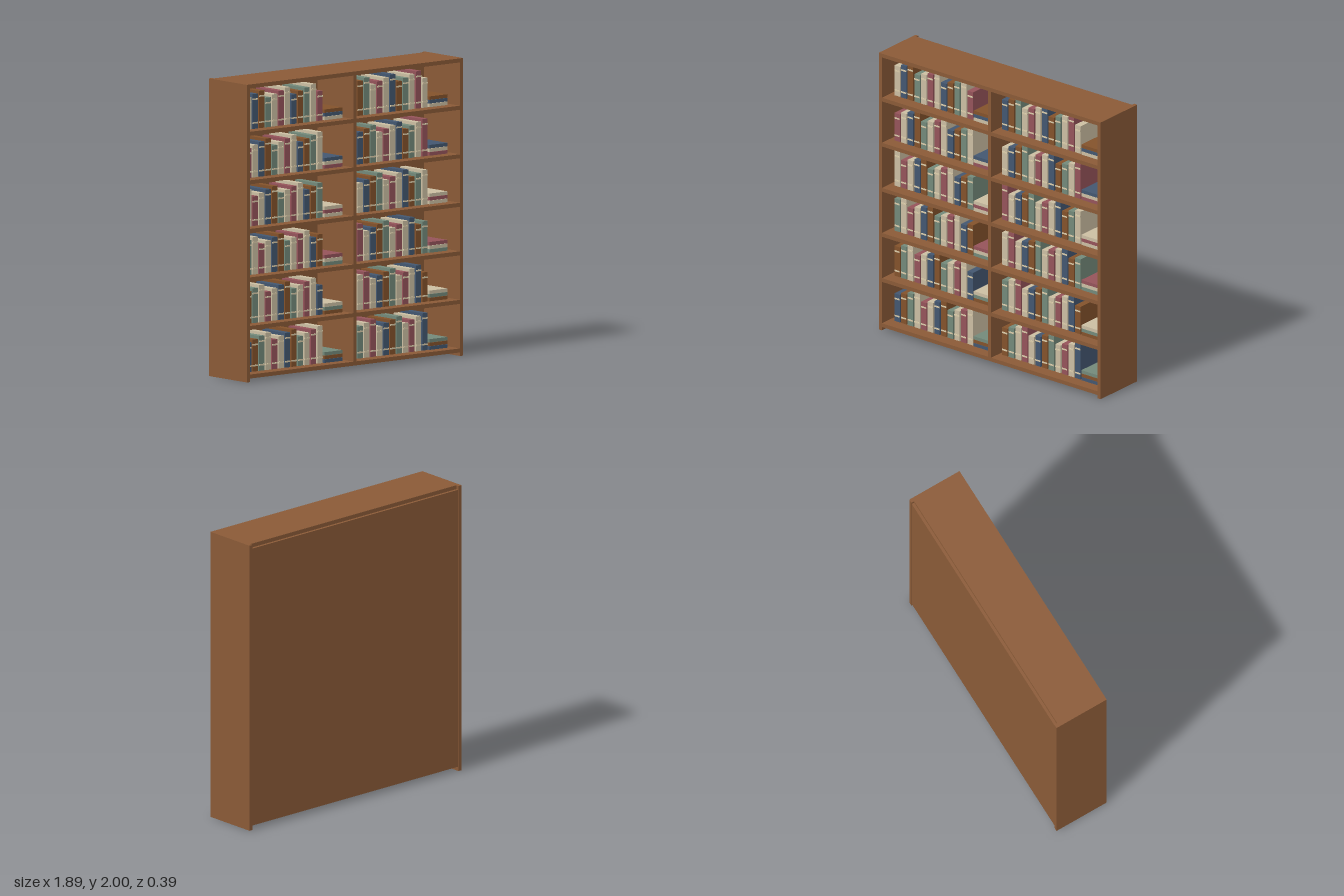
import * as THREE from 'three';

const paint = (name, color) => {
  const m = new THREE.MeshStandardMaterial({ color });
  m.name = name;
  return m;
};

export function createModel() {
  const wood = paint('wood', 0x8a5a37);
  const cream = paint('cream cover', 0xcbbea2);
  const blue = paint('blue cover', 0x435770);
  const brown = paint('brown cover', 0x83522b);
  const green = paint('green cover', 0x73897a);
  const red = paint('red cover', 0x95535a);
  const gilt = paint('spine band', 0xdccdab);
  const covers = [cream, blue, brown, green, cream, red];

  const model = new THREE.Group();
  model.name = 'bookcase';

  // Box given by its lower and upper limits on each axis
  const box = (parent, name, mat, [x0, x1], [y0, y1], [z0, z1]) => {
    const mesh = new THREE.Mesh(new THREE.BoxGeometry(x1 - x0, y1 - y0, z1 - z0), mat);
    mesh.position.set((x0 + x1) / 2, (y0 + y1) / 2, (z0 + z1) / 2);
    mesh.name = name;
    parent.add(mesh);
  };

  const W = 0.945, D = 0.195, T = 0.027;
  const inner = W - T, rear = -0.173;
  const rows = 6, pitch = 0.3262, firstShelf = 0.051;

  // Carcass
  const carcass = new THREE.Group();
  carcass.name = 'carcass';
  model.add(carcass);
  box(carcass, 'leftSide', wood, [inner, W], [0, 2], [-D, D]);
  box(carcass, 'rightSide', wood, [-W, -inner], [0, 2], [-D, D]);
  box(carcass, 'topPanel', wood, [-inner, inner], [2 - T, 2], [rear, D]);
  box(carcass, 'divider', wood, [-0.013, 0.013], [firstShelf, 2 - T], [rear, D]);
  box(carcass, 'backPanel', wood, [-inner, inner], [0.03, 2 - T], [-0.192, rear]);
  for (let s = 0; s < rows; s++) {
    const y = firstShelf + s * pitch;
    box(carcass, 'shelf', wood, [-inner, inner], [y - T, y], [rear, D]);
  }

  // Books: heights and colours step along each shelf and shift from row to row
  const heights = [0.199, 0.216, 0.234, 0.251];
  const bookW = 0.046, bookStep = 0.0567, zBack = -0.12, zFront = 0.11;
  for (let s = 0; s < rows; s++) {
    const y = firstShelf + s * pitch;
    for (const bay of [0, 1]) {
      const books = new THREE.Group();
      books.name = bay ? 'leftBayBooks' : 'rightBayBooks';
      model.add(books);
      const start = bay ? 0.038 : -0.88;

      for (let i = 0; i < 12; i++) {
        const x = start + i * bookStep;
        const h = heights[(i + s) % 4];
        box(books, 'book', covers[(i + s + 1 + bay) % 6], [x, x + bookW], [y, y + h], [zBack, zFront]);
        // Pale bands across the spine
        for (const b of [0.04, h - 0.035]) {
          box(books, 'spineBand', gilt, [x + 0.001, x + bookW - 0.001],
            [y + b - 0.005, y + b + 0.005], [zFront - 0.001, zFront + 0.003]);
        }
      }

      // Three books lying flat at the end of the row
      const sx = bay ? 0.718 : -0.2;
      for (let k = 0; k < 3; k++) {
        const by = y + k * 0.0245;
        box(books, 'flatBook', covers[(k + s + 1) % 6], [sx, sx + 0.158], [by, by + 0.0232], [zBack, zFront + 0.005]);
      }
    }
  }
  return model;
}
